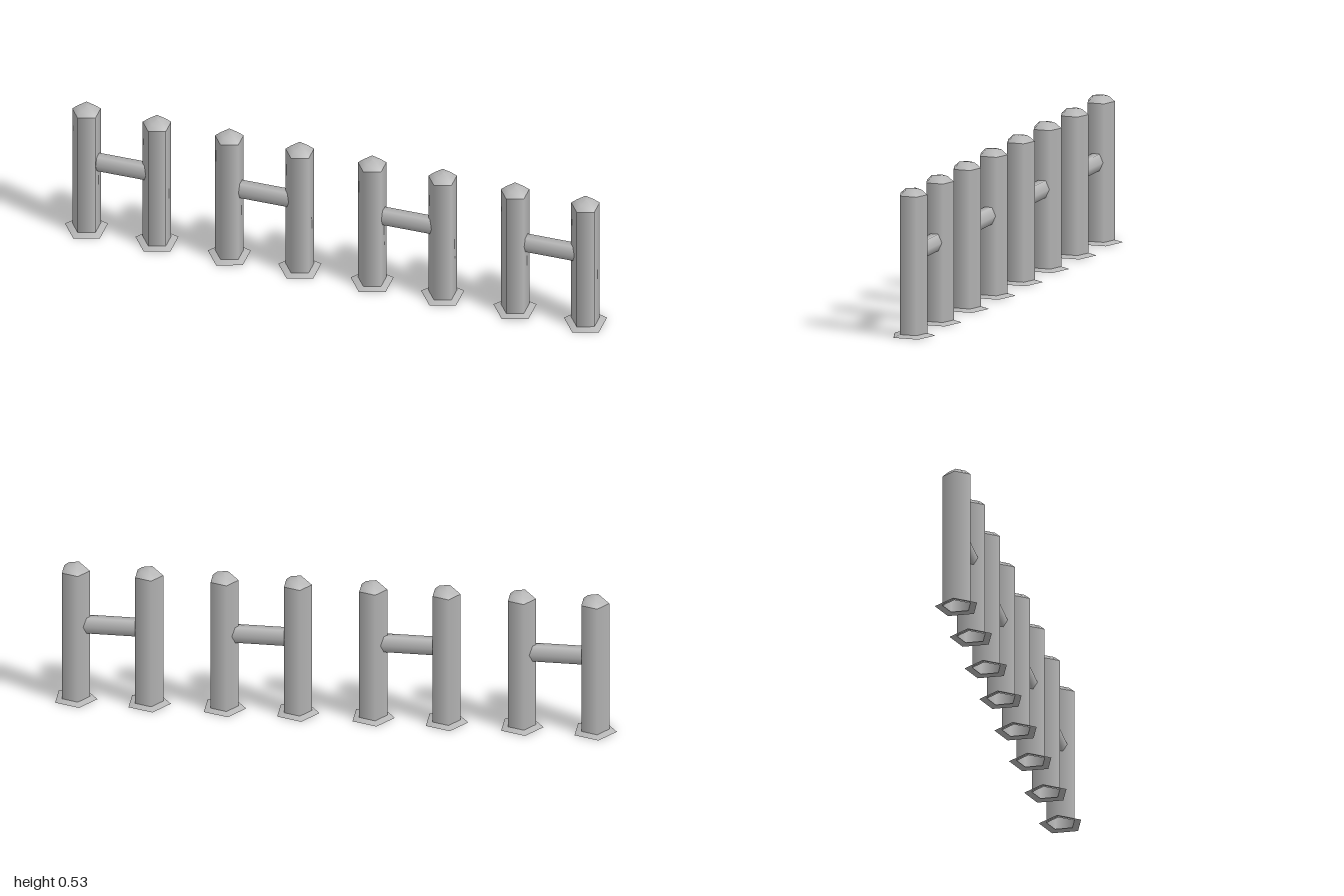
import * as THREE from 'three';

// Row of four hitching racks: two five-sided posts joined by a crossbar
export function createModel() {
  const model = new THREE.Group();
  model.name = 'postRow';
  const metal = new THREE.MeshStandardMaterial({ color: 0xb8b8b8, side: THREE.DoubleSide });
  metal.name = 'grey metal';

  const UNIT_STEP = 0.531, POST_GAP = 0.262, FIRST_X = -0.92;

  // Pentagonal turned section with one corner towards -x
  const turned = (profile) => new THREE.LatheGeometry(
    profile.map(([r, y]) => new THREE.Vector2(r, y)), 5, -Math.PI / 2);

  const parts = {
    baseFlange: turned([[0.08, 0], [0.078, 0.002], [0.053, 0.009]]),
    postShaft: turned([[0.053, 0.004], [0.053, 0.508]]),
    postCap: turned([[0.053, 0.508], [0.0315, 0.527], [0, 0.531]]),
  };

  // Crossbar: slightly flattened six-sided rod along x
  const bar = new THREE.CylinderGeometry(0.035, 0.035, POST_GAP - 0.06, 6, 1, true);
  bar.rotateZ(Math.PI / 2);
  bar.scale(1, 1, 0.8);

  const add = (parent, name, geometry) => {
    const mesh = new THREE.Mesh(geometry, metal);
    mesh.name = name;
    parent.add(mesh);
    return mesh;
  };

  for (let i = 0; i < 4; i++) {
    const rack = new THREE.Group();
    rack.name = 'rack' + (i + 1);
    rack.position.x = FIRST_X + i * UNIT_STEP;

    for (let side = 0; side < 2; side++) {
      const post = new THREE.Group();
      post.name = side ? 'leftPost' : 'rightPost';
      post.position.x = side * POST_GAP;
      for (const [name, geometry] of Object.entries(parts)) add(post, name, geometry);
      rack.add(post);
    }

    add(rack, 'crossbar', bar).position.set(POST_GAP / 2, 0.296, 0);
    model.add(rack);
  }
  return model;
}
